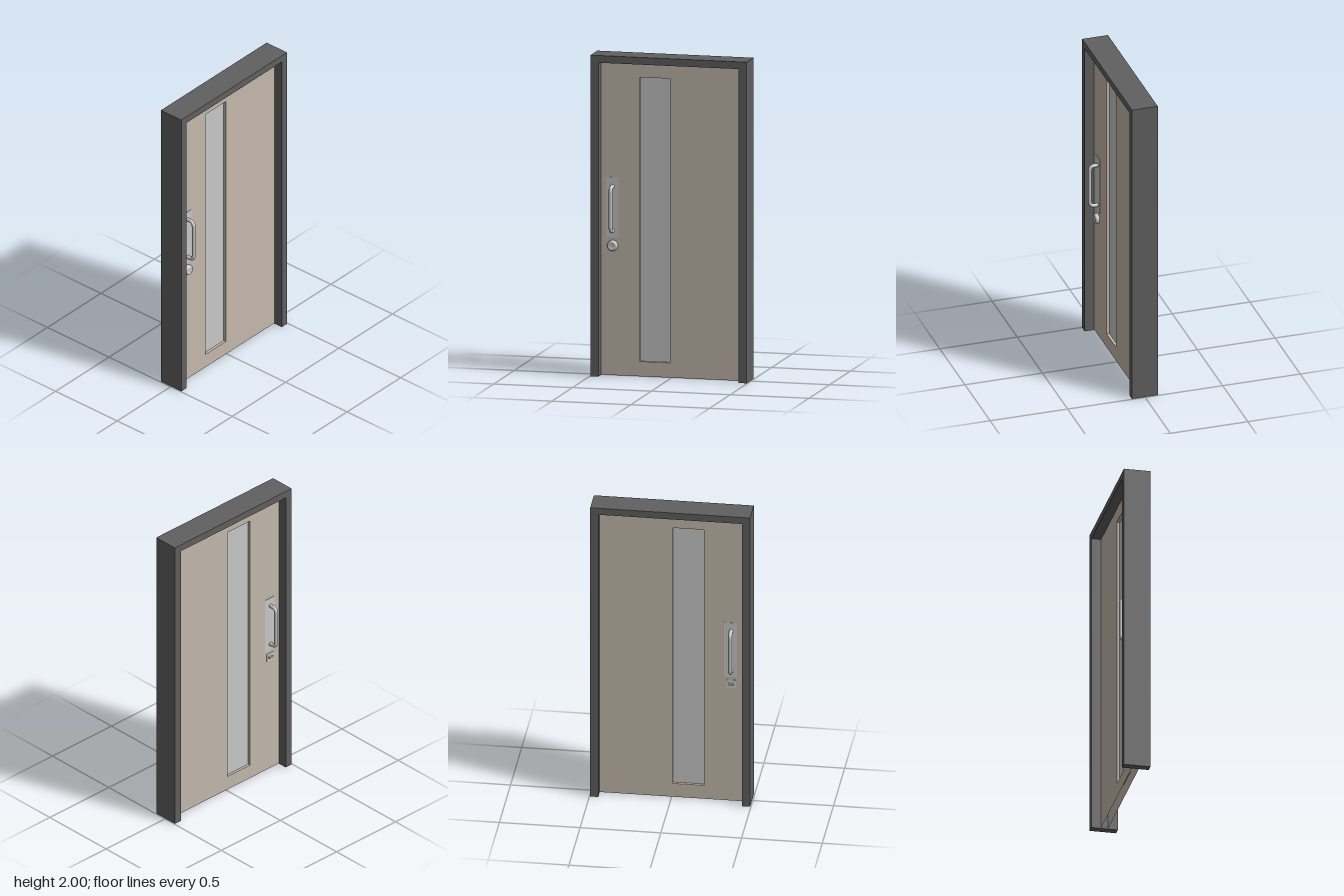
import * as THREE from 'three';

const mat = (name, color, side = THREE.FrontSide) => {
  const m = new THREE.MeshStandardMaterial({ color, side });
  m.name = name;
  return m;
};

export function createModel() {
  const frameGrey = mat('frameGrey', 0x606060);
  const doorBeige = mat('doorBeige', 0xc4b9ac, THREE.DoubleSide);
  const lightGrey = mat('lightGrey', 0xc8c8c8);

  const door = new THREE.Group();
  door.name = 'door';
  const add = (parent, name, geometry, material, x = 0, y = 0, z = 0) => {
    const mesh = new THREE.Mesh(geometry, material);
    mesh.name = name;
    mesh.position.set(x, y, z);
    parent.add(mesh);
    return mesh;
  };
  const outline = (Type, x0, y0, x1, y1) =>
    new Type([[x0, y0], [x1, y0], [x1, y1], [x0, y1]].map(p => new THREE.Vector2(...p)));

  // Frame: two jambs and a head, no sill
  const frame = new THREE.Shape([
    [-0.495, 0], [-0.445, 0], [-0.445, 1.955], [0.445, 1.955],
    [0.445, 0], [0.495, 0], [0.495, 2], [-0.495, 2],
  ].map(p => new THREE.Vector2(...p)));
  const depth = 0.166;
  add(door, 'frame', new THREE.ExtrudeGeometry(frame, { depth, bevelEnabled: false }), frameGrey, 0, 0, -depth / 2);

  // Leaf: hollow, open underneath, a skin on each face with a tall window opening
  const half = 0.022;
  const [wx0, wy0, wx1, wy1] = [-0.2, 0.095, -0.007, 1.865];
  const skin = outline(THREE.Shape, -0.445, 0.003, 0.445, 1.955);
  skin.holes.push(outline(THREE.Path, wx0, wy0, wx1, wy1));
  const skinGeometry = new THREE.ShapeGeometry(skin);
  add(door, 'frontSkin', skinGeometry, doorBeige, 0, 0, half);
  const backGeometry = skinGeometry.clone().scale(-1, 1, 1).rotateY(Math.PI);
  // restore the winding that the mirroring reversed
  const index = backGeometry.index;
  for (let i = 0; i < index.count; i += 3) {
    const a = index.getX(i);
    index.setX(i, index.getX(i + 2));
    index.setX(i + 2, a);
  }
  backGeometry.computeVertexNormals();
  add(door, 'backSkin', backGeometry, doorBeige, 0, 0, -half);

  // Window reveals
  const wcx = (wx0 + wx1) / 2, wcy = (wy0 + wy1) / 2, w = wx1 - wx0, h = wy1 - wy0;
  const t = 0.004;
  for (const s of [-1, 1]) {
    add(door, 'sideReveal', new THREE.BoxGeometry(t, h, half * 2 - 0.001), doorBeige, wcx + s * (w + t) / 2, wcy, 0);
    add(door, 'endReveal', new THREE.BoxGeometry(w, t, half * 2 - 0.001), doorBeige, wcx, wcy + s * (h + t) / 2, 0);
  }
  add(door, 'windowPane', new THREE.BoxGeometry(w, h, 0.008), lightGrey, wcx, wcy, 0);

  // Pull handle path: out from the plate, up, and back in
  const v = (y, z) => new THREE.Vector3(0, y, z);
  const [y0, y1, zOut, bend] = [0.903, 1.179, 0.075, 0.032];
  const path = new THREE.CurvePath();
  path.add(new THREE.LineCurve3(v(y0, half), v(y0, zOut - bend)));
  path.add(new THREE.QuadraticBezierCurve3(v(y0, zOut - bend), v(y0, zOut), v(y0 + bend, zOut)));
  path.add(new THREE.LineCurve3(v(y0 + bend, zOut), v(y1 - bend, zOut)));
  path.add(new THREE.QuadraticBezierCurve3(v(y1 - bend, zOut), v(y1, zOut), v(y1, zOut - bend)));
  path.add(new THREE.LineCurve3(v(y1, zOut - bend), v(y1, half)));
  const pull = new THREE.TubeGeometry(path, 72, 0.012, 14);

  // Plate and pull handle on both faces
  const hardware = ['frontHardware', 'backHardware'].map((name, i) => {
    const g = new THREE.Group();
    g.name = name;
    g.position.x = -0.37;
    g.rotation.y = i * Math.PI;
    add(g, 'handlePlate', new THREE.BoxGeometry(0.08, 0.375, 0.003), lightGrey, i ? -0.005 : -0.003, 1.047, half + 0.001);
    add(g, 'pullHandle', pull, lightGrey);
    door.add(g);
    return g;
  });

  // Front lock: stepped round knob with a domed rim
  const knob = new THREE.LatheGeometry([
    [0.033, 0], [0.033, 0.012], [0.031, 0.018], [0.026, 0.023], [0.019, 0.025],
    [0.018, 0.021], [0, 0.021],
  ].map(p => new THREE.Vector2(...p)), 32);
  knob.rotateX(Math.PI / 2);
  add(hardware[0], 'lockKnob', knob, lightGrey, 0, 0.81, half);

  // Back lock: small plate with a turn piece
  add(hardware[1], 'lockPlate', new THREE.BoxGeometry(0.06, 0.055, 0.003), lightGrey, 0, 0.81, half + 0.001);
  add(hardware[1], 'lockTurn', new THREE.BoxGeometry(0.03, 0.012, 0.012), lightGrey, 0, 0.81, half + 0.007);

  return door;
}
